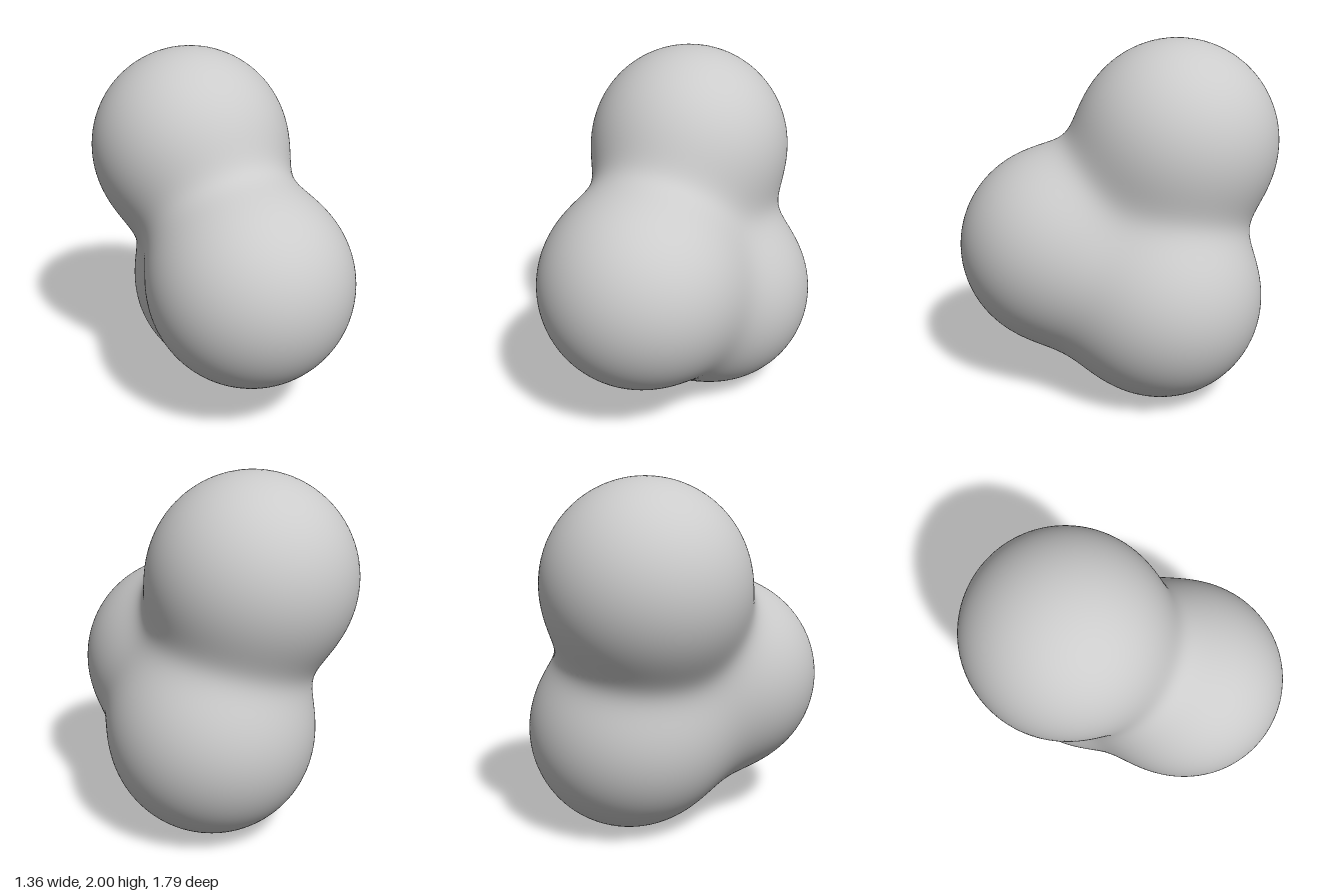
import * as THREE from 'three';
import { mergeVertices } from 'three/addons/utils/BufferGeometryUtils.js';

// Three balls melted into one smooth blob
const balls = [
  { centre: new THREE.Vector3(-0.11, 1.43, -0.325), radius: 0.57 }, // upper back
  { centre: new THREE.Vector3(0.06, 0.81, 0.315), radius: 0.575 }, // front
  { centre: new THREE.Vector3(0.11, 0.57, -0.295), radius: 0.57 }, // lower back
];
const SOFTNESS = 0.1;
const core = new THREE.Vector3(0.02, 0.95, -0.1); // lies inside all three balls

const weight = (ball, p) => Math.exp((ball.radius - p.distanceTo(ball.centre)) / SOFTNESS);
const inside = (p) => balls.reduce((sum, ball) => sum + weight(ball, p), 0) > 1;

// Walk out from the core to the blended surface by bisection
function surfacePoint(direction) {
  const p = new THREE.Vector3();
  let near = 0, far = 2;
  for (let i = 0; i < 26; i++) {
    const mid = (near + far) / 2;
    p.copy(core).addScaledVector(direction, mid);
    if (inside(p)) near = mid;
    else far = mid;
  }
  return p;
}

// Smooth normal from the weighted directions to the balls
function surfaceNormal(p) {
  const n = new THREE.Vector3();
  for (const ball of balls) {
    n.addScaledVector(p.clone().sub(ball.centre).normalize(), weight(ball, p));
  }
  return n.normalize();
}

export function createModel() {
  const sphere = new THREE.IcosahedronGeometry(1, 32);
  sphere.deleteAttribute('uv');
  sphere.deleteAttribute('normal');
  const geometry = mergeVertices(sphere);
  const position = geometry.attributes.position;
  const normals = new THREE.BufferAttribute(new Float32Array(position.count * 3), 3);
  const direction = new THREE.Vector3();
  for (let i = 0; i < position.count; i++) {
    const p = surfacePoint(direction.fromBufferAttribute(position, i).normalize());
    const n = surfaceNormal(p);
    position.setXYZ(i, p.x, p.y, p.z);
    normals.setXYZ(i, n.x, n.y, n.z);
  }
  geometry.setAttribute('normal', normals);

  const blob = new THREE.Mesh(geometry, new THREE.MeshStandardMaterial({ color: 0xcccccc }));
  blob.name = 'blob';
  const group = new THREE.Group();
  group.name = 'meltedBalls';
  group.add(blob);
  return group;
}
